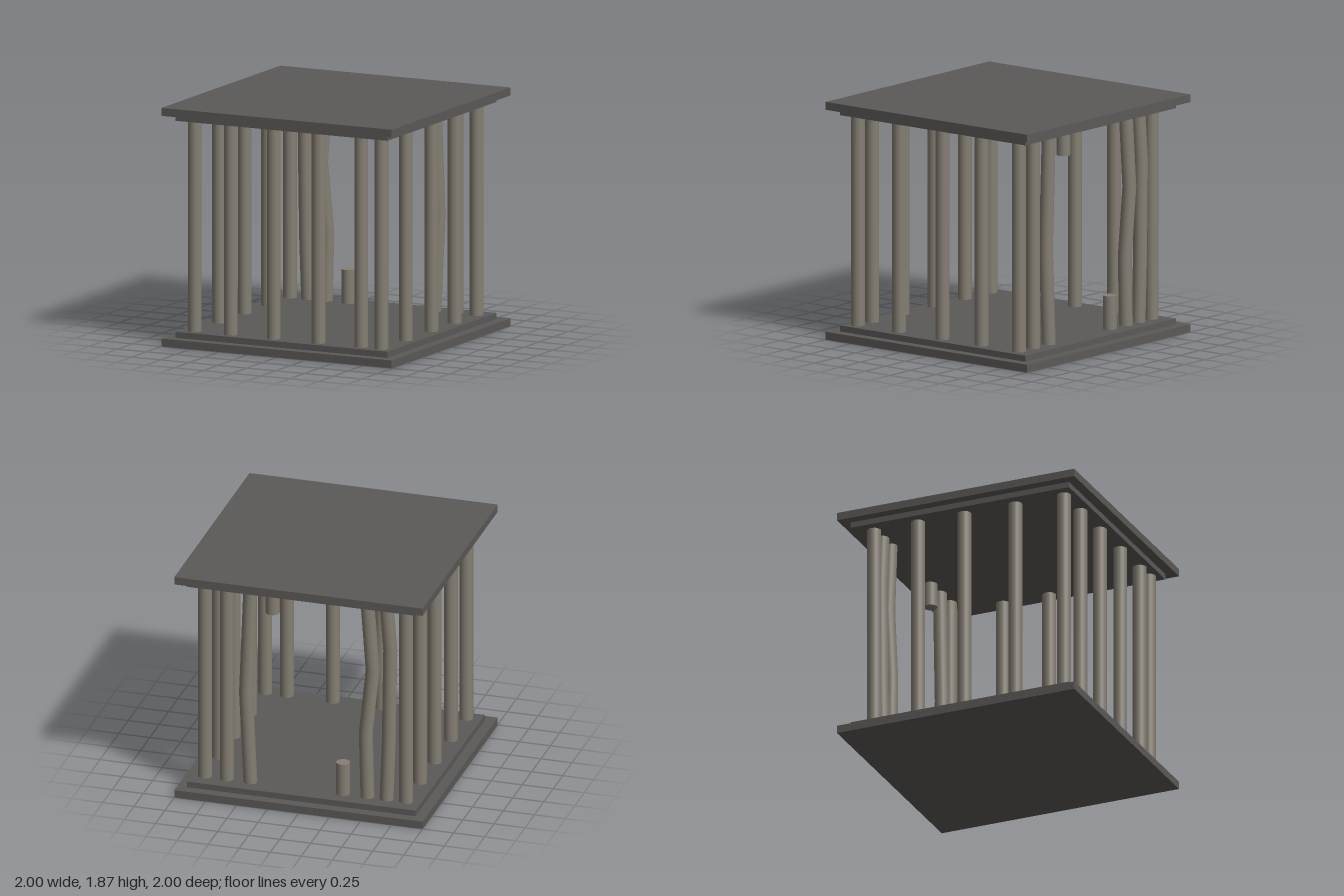
import * as THREE from 'three';

const stone = new THREE.MeshStandardMaterial({ color: 0x5c5a58 });
stone.name = 'dark plate';
const metal = new THREE.MeshStandardMaterial({ color: 0x857f73 });
metal.name = 'bar metal';

const R = 0.054, FLOOR = 0.11, CEILING = 1.765;
const FRONT = 0.825, BACK = -0.775, LEFT = 0.82, RIGHT = -0.8;

export function createModel() {
  const model = new THREE.Group();

  function plate(name, size, y0, y1) {
    const mesh = new THREE.Mesh(new THREE.BoxGeometry(size, y1 - y0, size), stone);
    mesh.name = name;
    mesh.position.y = (y0 + y1) / 2;
    model.add(mesh);
  }

  // A bar follows [x, y] points from bottom to top; each ring of the cylinder sits on one point
  function bar(name, points, z) {
    const n = points.length - 1;
    const geo = new THREE.CylinderGeometry(R, R, n, 20, n);
    const pos = geo.attributes.position;
    for (let i = 0; i < pos.count; i++) {
      const [x, y] = points[Math.round(pos.getY(i) + n / 2)];
      pos.setXYZ(i, pos.getX(i) + x, y, pos.getZ(i) + z);
    }
    const mesh = new THREE.Mesh(geo, metal);
    mesh.name = name;
    model.add(mesh);
  }
  const straight = (name, x, z, y0 = FLOOR, y1 = CEILING) => bar(name, [[x, y0], [x, y1]], z);

  // Stepped base and roof
  plate('base', 2, 0, 0.062);
  plate('baseStep', 1.84, 0.062, FLOOR);
  plate('roofStep', 1.84, CEILING, 1.81);
  plate('roof', 2, 1.81, 1.872);

  // Intact bars
  for (const x of [RIGHT, -0.487, -0.115, 0.275, 0.645, LEFT]) straight('frontBar', x, FRONT);
  for (const z of [0.415, -0.015, -0.405]) {
    straight('leftBar', LEFT, z);
    straight('rightBar', RIGHT, z);
  }
  for (const x of [RIGHT, 0.645, LEFT]) straight('backBar', x, BACK);

  // Bent bars beside the gap in the back
  bar('bentBar', [[-0.642, FLOOR], [-0.66, 0.6], [-0.672, 1.38], [-0.642, CEILING]], BACK);
  bar('bentBar', [[-0.488, FLOOR], [-0.475, 0.65], [-0.53, 1.19], [-0.488, CEILING]], BACK);
  bar('bentBar', [[0.455, FLOOR], [0.49, 0.87], [0.455, CEILING]], BACK);

  // Broken stubs
  straight('lowerStub', -0.292, BACK, FLOOR, 0.375);
  straight('hangingStub', 0.275, BACK, 1.57, CEILING);

  return model;
}
